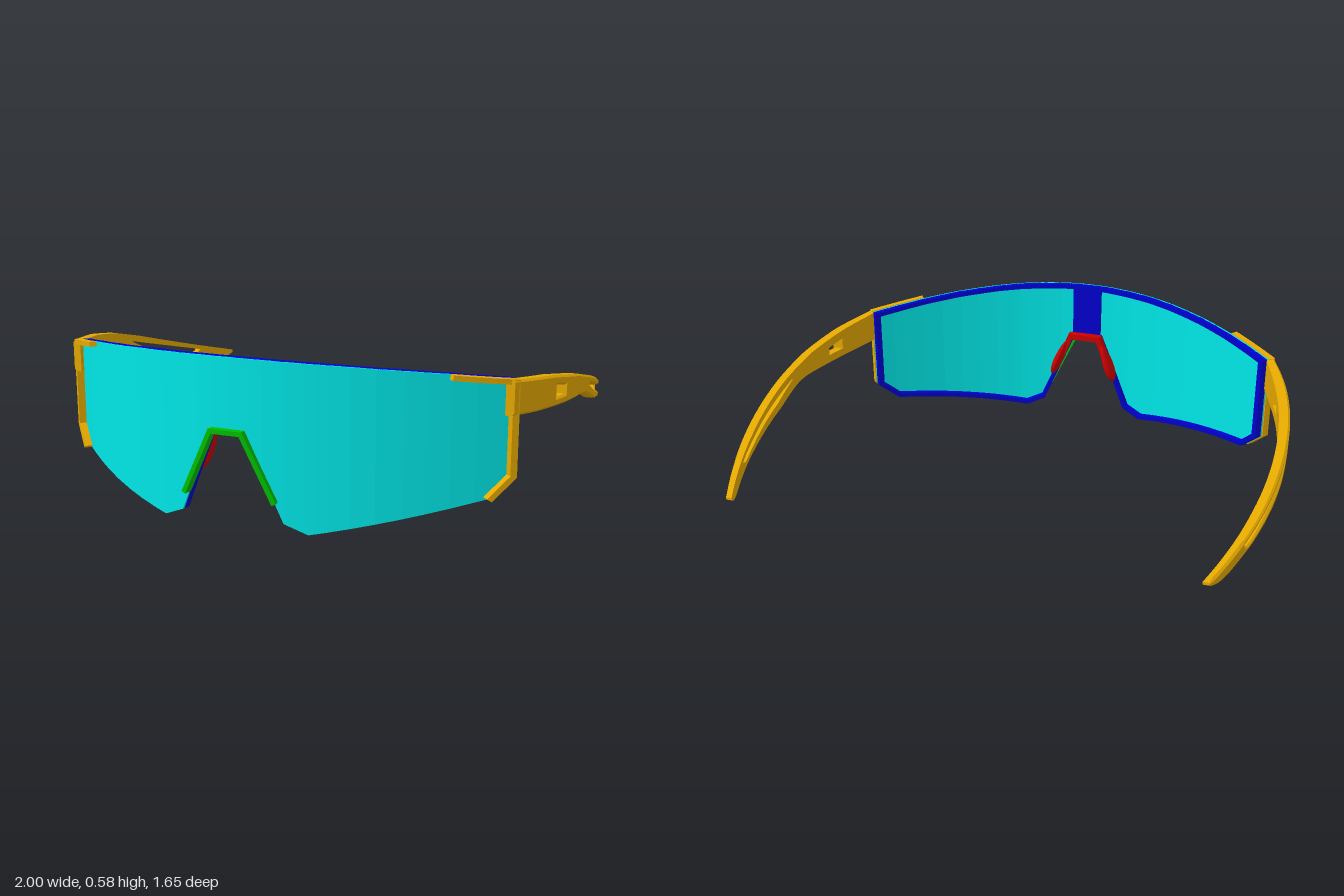
import * as THREE from 'three';

const mat = (name, color) => Object.assign(new THREE.MeshStandardMaterial({ color }), { name });

// Piecewise linear lookup in a table of [key, value] with rising keys
function lerpTable(t, k) {
  if (k <= t[0][0]) return t[0][1];
  for (let i = 1; i < t.length; i++) {
    if (k <= t[i][0]) {
      const f = (k - t[i - 1][0]) / (t[i][0] - t[i - 1][0]);
      return t[i - 1][1] + f * (t[i][1] - t[i - 1][1]);
    }
  }
  return t[t.length - 1][1];
}

// Solid through a row of equal rings, flat faced, always facing outward
function loft(rings, closed = false) {
  const n = rings[0].length, count = rings.length;
  const tris = [];
  const quad = (a, b, c, d) => tris.push([a, b, c], [a, c, d]);
  for (let i = 0; i < (closed ? count : count - 1); i++) {
    const A = rings[i], B = rings[(i + 1) % count];
    for (let j = 0; j < n; j++) quad(A[j], A[(j + 1) % n], B[(j + 1) % n], B[j]);
  }
  if (!closed) {
    const A = rings[0], B = rings[count - 1];
    for (let j = 1; j < n - 1; j++) tris.push([A[0], A[j + 1], A[j]], [B[0], B[j], B[j + 1]]);
  }
  let volume = 0;
  for (const [a, b, c] of tris) volume += a.dot(b.clone().cross(c));
  const pts = [];
  for (const [a, b, c] of tris) pts.push(...(volume < 0 ? [a, c, b] : [a, b, c]));
  const g = new THREE.BufferGeometry().setFromPoints(pts);
  g.computeVertexNormals();
  return g;
}

// Point on the wrapped shield surface, pushed out along its normal
function shield(x, y, off = 0) {
  const l = Math.hypot(1.16 * x, 1);
  return new THREE.Vector3(x + off * 1.16 * x / l, y, 0.805 - 0.58 * x * x + off / l);
}

const TOP = [[0, 0.585], [0.1, 0.584], [0.2, 0.58], [0.3, 0.575], [0.4, 0.567], [0.55, 0.551], [0.68, 0.533], [0.85, 0.503]];
const BOTTOM = [[0, 0.34], [0.057, 0.34], [0.19, 0.035], [0.27, 0], [0.785, 0.095], [0.85, 0.17]];

// Bar following a path on the shield, from inset a to b and offset back to front
function band(path, a, b, back, front, closed = false) {
  const n = path.length;
  const normal = (p, q) => {
    const l = Math.hypot(q[0] - p[0], q[1] - p[1]);
    return [(q[1] - p[1]) / l, -(q[0] - p[0]) / l];
  };
  const rings = path.map((p, i) => {
    const prev = closed ? path[(i + n - 1) % n] : path[i - 1];
    const next = closed ? path[(i + 1) % n] : path[i + 1];
    const n1 = normal(...(prev ? [prev, p] : [p, next]));
    const n2 = normal(...(next ? [p, next] : [prev, p]));
    const k = 1 / (1 + n1[0] * n2[0] + n1[1] * n2[1]);
    const at = (d, off) => shield(p[0] + (n1[0] + n2[0]) * k * d, p[1] + (n1[1] + n2[1]) * k * d, off);
    return [at(a, back), at(b, back), at(b, front), at(a, front)];
  });
  return loft(rings, closed);
}

const mirrorPath = (path) => path.map(([x, y]) => [-x, y]).reverse();

// Split long path spans so that they follow the curve
function subdivide(path, step = 0.06) {
  const out = [path[0]];
  for (let i = 1; i < path.length; i++) {
    const [p, q] = [path[i - 1], path[i]];
    const k = Math.max(1, Math.ceil(Math.abs(q[0] - p[0]) / step));
    for (let j = 1; j <= k; j++) out.push([p[0] + (q[0] - p[0]) * j / k, p[1] + (q[1] - p[1]) * j / k]);
  }
  return out;
}

// Temple arm profile: height against z
const ARM_TOP = [[-0.825, 0.232], [-0.6, 0.292], [-0.4, 0.347], [-0.2, 0.402], [0, 0.45], [0.2, 0.483], [0.43, 0.507]];
const ARM_BOTTOM = [[-0.825, 0.222], [-0.79, 0.201], [-0.74, 0.203], [-0.6, 0.233], [-0.4, 0.272], [-0.24, 0.307],
  [-0.16, 0.337], [-0.1, 0.358], [-0.05, 0.366], [0.1, 0.368], [0.3, 0.376], [0.43, 0.385]];
const ARM_THICK = [[-0.825, 0.024], [-0.5, 0.034], [-0.2, 0.038], [0.2, 0.045], [0.35, 0.042], [0.43, 0.03]];
const SLOT_TOP = [[-0.63, 0.266], [-0.4, 0.324], [-0.24, 0.364], [-0.14, 0.39]];
const SLOT_BOTTOM = [[-0.63, 0.264], [-0.6, 0.25], [-0.26, 0.335], [-0.14, 0.386]];
const WINDOW_TOP = [[0.11, 0.432], [0.19, 0.447]];
const WINDOW_BOTTOM = [[0.11, 0.4], [0.19, 0.402]];

function armBar(side, z0, z1, top, bottom) {
  const rings = [];
  const steps = Math.max(2, Math.ceil((z1 - z0) / 0.025));
  for (let i = 0; i <= steps; i++) {
    const z = z0 + (z1 - z0) * i / steps;
    const x = 1 - 0.355 * (z + 0.2) ** 2;
    const thick = lerpTable(ARM_THICK, z);
    const t = lerpTable(top, z), b = lerpTable(bottom, z);
    const c = Math.min(0.008, (t - b) * 0.3);
    rings.push([[x - thick, b], [x - thick, t], [x - c, t], [x, t - c], [x, b + c], [x - c, b]]
      .map(([px, py]) => new THREE.Vector3(side * px, py, z)));
  }
  return loft(rings);
}

export function createModel() {
  const cyan = mat('lensCyan', 0x00e5e5);
  const gold = mat('armGold', 0xe5a900);
  const blue = mat('rimBlue', 0x0000cc);
  const green = mat('clipGreen', 0x00bd00);
  const red = mat('padRed', 0xcc0000);

  const model = new THREE.Group();
  model.name = 'sportGlasses';
  const add = (name, geometry, material, parent = model) => {
    const m = new THREE.Mesh(geometry, material);
    m.name = name;
    parent.add(m);
    return m;
  };

  // One-piece shield lens, built in columns
  const half = new Set([...TOP, ...BOTTOM].map((p) => p[0]));
  for (let x = 0.05; x < 0.84; x += 0.07) half.add(+x.toFixed(3));
  const xs = [...new Set([...half].flatMap((x) => (x ? [x, -x] : [0])))].sort((a, b) => a - b);
  add('lens', loft(xs.map((x) => {
    const t = lerpTable(TOP, Math.abs(x)), b = lerpTable(BOTTOM, Math.abs(x));
    return [shield(x, b), shield(x, t), shield(x, t, -0.008), shield(x, b, -0.008)];
  })), cyan);

  // Rim around the back of the lens, and the bridge in the middle
  const right = subdivide([...TOP, ...BOTTOM.slice(1).reverse()]);
  add('rim', band([...right, ...mirrorPath(right.slice(1))], 0, 0.018, -0.032, -0.006, true), blue);
  add('bridge', loft([-0.063, 0, 0.063].map((x) =>
    [shield(x, 0.335, -0.024), shield(x, 0.575, -0.024), shield(x, 0.575, -0.007), shield(x, 0.335, -0.007)])), blue);

  // Clip along the nose notch
  const notch = [[0.167, 0.108], [0.057, 0.34], [0, 0.34]];
  add('noseClip', band([...notch, ...mirrorPath(notch.slice(0, 2))], -0.011, 0.005, -0.006, 0.025), green);

  // Nose pads, fuller towards the bottom, joined by a saddle
  const saddle = [[0.115, 0.22], [0.063, 0.345], [0, 0.345]];
  const nosePiece = new THREE.Group();
  nosePiece.name = 'nosePiece';
  model.add(nosePiece);
  add('saddle', band([...saddle, ...mirrorPath(saddle.slice(0, 2))], -0.004, 0.02, -0.064, -0.03), red, nosePiece);
  const padShape = new THREE.SphereGeometry(1, 20, 14);
  const pos = padShape.attributes.position;
  for (let i = 0; i < pos.count; i++) {
    const full = 1 - 0.25 * pos.getY(i);
    pos.setX(i, pos.getX(i) * full).setZ(i, pos.getZ(i) * full);
  }
  padShape.computeVertexNormals();
  for (const s of [1, -1]) {
    const pad = add('nosePad', padShape, red, nosePiece);
    pad.scale.set(0.018, 0.085, 0.046);
    pad.position.set(s * 0.112, 0.25, 0.739);
    pad.rotation.z = s * 0.36;
  }

  // Lens holders, standing proud of the lens, and temple arms
  for (const s of [1, -1]) {
    const arm = new THREE.Group();
    arm.name = s > 0 ? 'leftArm' : 'rightArm';
    model.add(arm);
    const edge = subdivide([[0.675, 0.534], [0.85, 0.503], [0.85, 0.17], [0.785, 0.095]]);
    add('lensHolder', band(s > 0 ? edge : mirrorPath(edge), -0.002, 0.016, 0.002, 0.029), gold, arm);
    const bars = [
      ['armTip', -0.825, -0.63, ARM_TOP, ARM_BOTTOM],
      ['slotUpperBar', -0.63, -0.14, ARM_TOP, SLOT_TOP],
      ['slotLowerBar', -0.63, -0.14, SLOT_BOTTOM, ARM_BOTTOM],
      ['armMiddle', -0.14, 0.11, ARM_TOP, ARM_BOTTOM],
      ['windowUpperBar', 0.11, 0.19, ARM_TOP, WINDOW_TOP],
      ['windowLowerBar', 0.11, 0.19, WINDOW_BOTTOM, ARM_BOTTOM],
      ['armHinge', 0.19, 0.428, ARM_TOP, ARM_BOTTOM],
    ];
    for (const [name, z0, z1, top, bottom] of bars) add(name, armBar(s, z0, z1, top, bottom), gold, arm);
  }
  return model;
}
